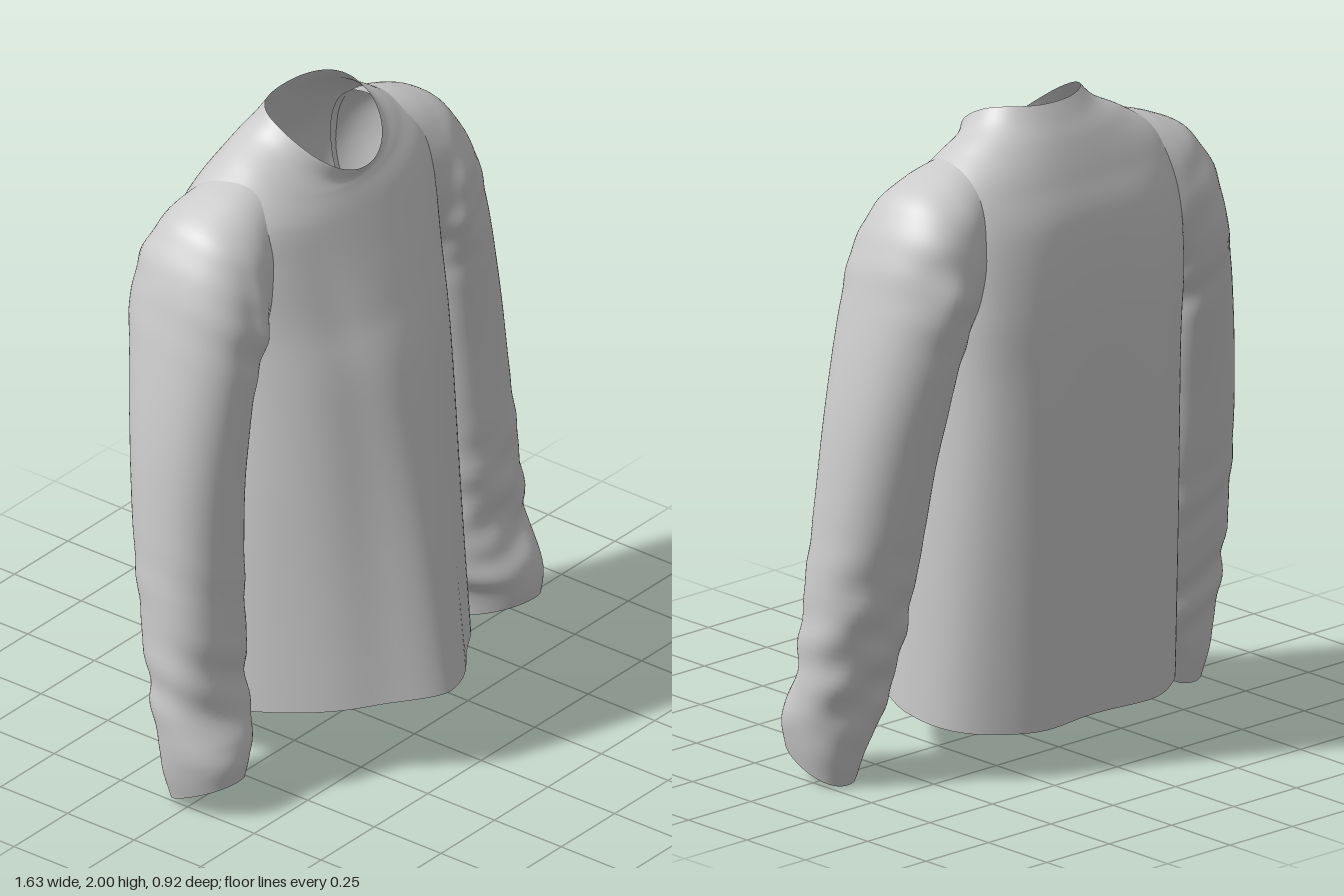
import * as THREE from 'three';

const material = new THREE.MeshStandardMaterial({ color: 0xcccccc, side: THREE.DoubleSide });
const spow = (c, n) => Math.sign(c) * Math.pow(Math.abs(c), 2 / n);
const bump = (d, width) => Math.exp(-(d * d) / (width * width));

// Smooth cubic blend through rows of station values, t in 0..1
function sample(rows, t) {
  const f = t * (rows.length - 1);
  const i = Math.min(Math.floor(f), rows.length - 2);
  const k = f - i;
  const row = j => rows[Math.min(Math.max(j, 0), rows.length - 1)];
  return row(i).map((b, c) => {
    const a = row(i - 1)[c], d = row(i + 1)[c], e = row(i + 2)[c];
    return b + 0.5 * k * (d - a + k * (2 * a - 5 * b + 4 * d - e + k * (3 * (b - d) + e - a)));
  });
}

// Open tube of closed rings; point(values, angle) places each vertex
function loft(name, rows, rings, segments, flip, point) {
  const positions = [], index = [];
  for (let j = 0; j <= rings; j++) {
    const values = sample(rows, j / rings);
    for (let i = 0; i < segments; i++) positions.push(...point(values, (i / segments) * Math.PI * 2));
  }
  for (let j = 0; j < rings; j++) {
    for (let i = 0; i < segments; i++) {
      const a = j * segments + i, b = j * segments + (i + 1) % segments;
      const c = a + segments, d = b + segments;
      if (flip) index.push(a, b, c, b, d, c);
      else index.push(a, c, b, b, c, d);
    }
  }
  const geometry = new THREE.BufferGeometry();
  geometry.setAttribute('position', new THREE.Float32BufferAttribute(positions, 3));
  geometry.setIndex(index);
  geometry.computeVertexNormals();
  const mesh = new THREE.Mesh(geometry, material);
  mesh.name = name;
  return mesh;
}

// Torso rings: yFront, ySide, yBack, zFront, zSide, zBack, halfWidth, centreX, frontRoundness, backRoundness, drape
const torsoRows = [
  [0.26, 0.18, 0.14, 0.46, -0.10, -0.42, 0.475, 0, 1.65, 2.7, 1],
  [0.75, 0.70, 0.68, 0.385, -0.11, -0.44, 0.46, 0, 1.75, 2.9, 0.9],
  [1.23, 1.20, 1.20, 0.285, -0.12, -0.455, 0.44, 0, 2.0, 3.2, 0.6],
  [1.45, 1.45, 1.45, 0.20, -0.13, -0.45, 0.44, 0, 2.2, 3.6, 0.35],
  [1.62, 1.66, 1.66, 0.125, -0.14, -0.42, 0.45, 0, 2.4, 3.2, 0.15],
  [1.73, 1.80, 1.79, 0.075, -0.14, -0.37, 0.43, 0, 2.4, 2.7, 0],
  [1.79, 1.885, 1.89, 0.045, -0.13, -0.325, 0.32, 0.005, 2.2, 2.3, 0],
  [1.81, 1.935, 1.95, 0.04, -0.12, -0.29, 0.225, 0.015, 2.1, 2.2, 0],
  [1.84, 1.975, 2.0, 0.055, -0.11, -0.26, 0.182, 0.018, 2.1, 2.2, 0],
];

function torsoPoint([yF, yS, yB, zF, zS, zB, w, cx, nF, nB, drape], angle) {
  const c = Math.cos(angle), s0 = Math.sin(angle);
  // The front drapes straighter on the right half
  const n = s0 > 0 ? nF - (c < 0 ? 0.3 * drape : 0) : nB;
  const u = spow(c, n), s = spow(s0, n);
  let x = cx + w * u;
  let z = zS + (s > 0 ? (zF - zS) * s : (zS - zB) * s);
  const y = yS + s * (yF - yB) / 2 + s * s * ((yF + yB) / 2 - yS);
  if (s > 0) {
    // Off-centre front ridge with shallow hanging folds
    x -= 0.10 * drape * s;
    z += drape * s * (0.02 * bump(x - 0.33, 0.07) - 0.03 * bump(x - 0.15, 0.1) - 0.025 * bump(x + 0.25, 0.08));
  } else {
    // Hollow along the spine
    z += s * 0.018 * drape * (bump(Math.abs(x) - 0.24, 0.1) - bump(x, 0.12));
  }
  return [x, y, z];
}

// Sleeve rings: outer x, y, inner x, y, zFront, zBack, cuff tilt, wrinkle amount
const sleeveRows = [
  [0.29, 1.885, 0.35, 1.40, 0.00, -0.32, 0, 0],
  [0.43, 1.845, 0.39, 1.36, 0.04, -0.365, 0, 0.2],
  [0.55, 1.78, 0.415, 1.30, 0.055, -0.375, 0, 0.6],
  [0.625, 1.65, 0.43, 1.23, 0.06, -0.365, 0, 0.5],
  [0.68, 1.45, 0.44, 1.13, 0.06, -0.345, 0, 0.1],
  [0.74, 1.15, 0.455, 0.95, 0.055, -0.30, 0, 0],
  [0.775, 0.85, 0.465, 0.75, 0.06, -0.26, 0, 0.1],
  [0.80, 0.56, 0.48, 0.50, 0.075, -0.205, 0, 0.8],
  [0.81, 0.34, 0.495, 0.32, 0.085, -0.155, 0.01, 1],
  [0.81, 0.20, 0.53, 0.20, 0.135, -0.125, 0.03, 0.5],
  [0.80, 0.13, 0.575, 0.13, 0.15, -0.11, 0.04, 0.2],
  [0.78, 0.055, 0.605, 0.055, 0.145, -0.085, 0.055, 0],
];

function sleevePoint(side) {
  return ([ox, oy, ix, iy, zF, zB, tilt, wrinkle], angle) => {
    const c = spow(Math.cos(angle), 2.2), s = spow(Math.sin(angle), 2.2);
    let x = (ox + ix) / 2 + c * (ox - ix) / 2;
    const y = (oy + iy) / 2 + c * (oy - iy) / 2 + s * tilt;
    let z = (zF + zB) / 2 + s * (zF - zB) / 2;
    // Slanted, uneven creases at the armhole and above the cuff
    const crease = 0.006 * wrinkle * (Math.sin(y * 30 + x * 16 * side + 2 * s) + 0.6 * Math.sin(y * 47 - x * 25 + s));
    x += crease * c * 0.5;
    z += crease * s;
    // Gathered cloth beside the armhole, behind and in front
    z -= 0.015 * Math.max(-s, 0) * bump(y - 1.5, 0.1) * bump(x - 0.54, 0.06);
    z += 0.025 * Math.max(s, 0) * bump(y - 1.5, 0.15) * bump(x - 0.47, 0.035);
    return [side * x, y, z];
  };
}

export function createModel() {
  const shirt = new THREE.Group();
  shirt.name = 'longSleeveShirt';

  // Body from hem to neck opening
  shirt.add(loft('torso', torsoRows, 72, 120, false, torsoPoint));

  // Mirrored sleeves from shoulder to cuff
  for (const side of [1, -1]) {
    shirt.add(loft(side > 0 ? 'leftSleeve' : 'rightSleeve', sleeveRows, 99, 72, side > 0, sleevePoint(side)));
  }
  return shirt;
}
